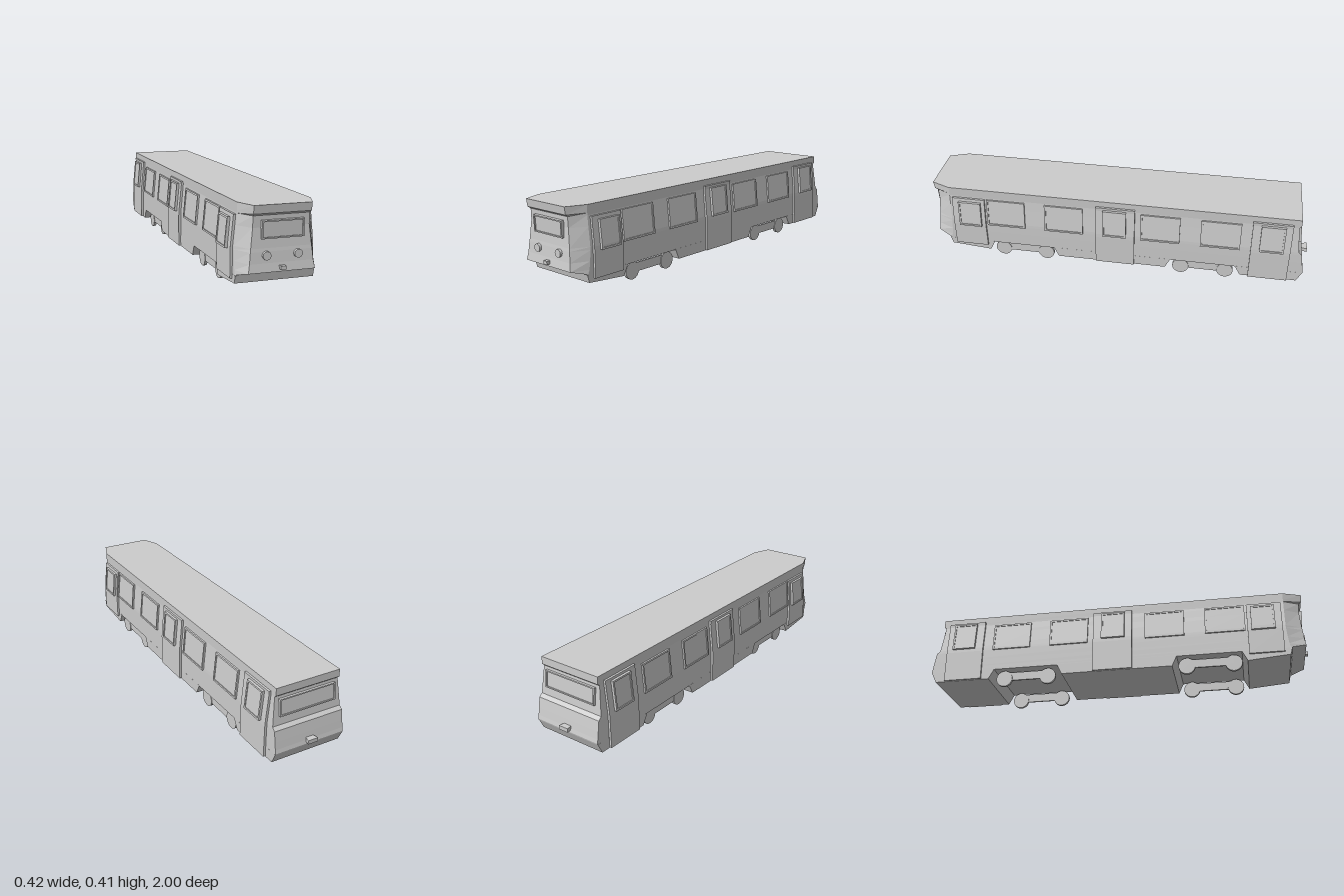
import * as THREE from 'three';

const material = new THREE.MeshStandardMaterial({ color: 0xcccccc, flatShading: true });

// Half width of the side wall at height y
const WALL = [[0.04, 0.187], [0.2, 0.186], [0.22, 0.185], [0.3, 0.177], [0.36, 0.171], [0.41, 0.172]];
function wall(y) {
  for (let i = 1; i < WALL.length; i++) {
    const [y0, x0] = WALL[i - 1], [y1, x1] = WALL[i];
    if (y <= y1) return x0 + (x1 - x0) * Math.max(0, (y - y0) / (y1 - y0));
  }
  return WALL[WALL.length - 1][1];
}

function add(parent, name, geometry) {
  const mesh = new THREE.Mesh(geometry, material);
  mesh.name = name;
  parent.add(mesh);
  return mesh;
}

function box(parent, name, w, h, d, x, y, z) {
  const mesh = add(parent, name, new THREE.BoxGeometry(w, h, d));
  mesh.position.set(x, y, z);
  return mesh;
}

// Body lofted upward through six-cornered plan outlines
function bodyGeometry() {
  // y, rear z, corner z, nose z, nose half width
  const rows = [
    [0.09, -0.976, 0.91, 0.912, 0.184],
    [0.097, -0.978, 0.905, 0.914, 0.184],
    [0.116, -0.974, 0.9, 0.984, 0.155],
    [0.155, -0.968, 0.895, 0.978, 0.148],
    [0.205, -0.96, 0.89, 0.974, 0.143],
    [0.22, -0.943, 0.89, 0.972, 0.141],
    [0.31, -0.933, 0.89, 0.966, 0.131],
    [0.362, -0.927, 0.89, 0.968, 0.13],
    [0.372, -0.938, 0.89, 0.982, 0.134],
    [0.41, -0.938, 0.89, 0.988, 0.134],
  ];
  const rings = rows.map(([y, zb, zc, zf, fw]) => {
    const hw = wall(y);
    return [[hw, zb], [-hw, zb], [-hw, zc], [-fw, zf], [fw, zf], [hw, zc]].map(([x, z]) => [x, y, z]);
  });
  const pos = [];
  const tri = (a, b, c) => pos.push(...a, ...b, ...c);
  for (let i = 0; i < rings.length - 1; i++) {
    for (let j = 0; j < 6; j++) {
      const k = (j + 1) % 6;
      tri(rings[i][j], rings[i][k], rings[i + 1][k]);
      tri(rings[i][j], rings[i + 1][k], rings[i + 1][j]);
    }
  }
  const top = rings[rings.length - 1], bottom = rings[0];
  for (let j = 1; j < 5; j++) {
    tri(top[0], top[j], top[j + 1]);
    tri(bottom[0], bottom[j + 1], bottom[j]);
  }
  const g = new THREE.BufferGeometry();
  g.setAttribute('position', new THREE.Float32BufferAttribute(pos, 3));
  g.computeVertexNormals();
  return g;
}

// Side profile (z, y) extruded across the full width
function crossExtrude(points, width) {
  const shape = new THREE.Shape(points.map(([z, y]) => new THREE.Vector2(z, y)));
  const g = new THREE.ExtrudeGeometry(shape, { depth: width, bevelEnabled: false });
  g.rotateY(-Math.PI / 2);
  g.translate(width / 2, 0, 0);
  return g;
}

// Slab that follows the side wall and stands out from it by d
function panel(parent, name, side, z0, z1, y0, y1, d) {
  const ys = [y0, ...WALL.map(p => p[0]).filter(y => y > y0 && y < y1), y1];
  const outer = ys.map(y => new THREE.Vector2(side * (wall(y) + d), y));
  const inner = ys.map(y => new THREE.Vector2(side * (wall(y) - 0.01), y)).reverse();
  const g = new THREE.ExtrudeGeometry(new THREE.Shape([...outer, ...inner]), { depth: z1 - z0, bevelEnabled: false });
  g.translate(0, 0, z0);
  return add(parent, name, g);
}

// Framed side window with a slightly sunken pane
function sideWindow(parent, name, side, z0, z1, y0, y1, d) {
  const group = new THREE.Group();
  group.name = name;
  const t = 0.009;
  panel(group, 'frameRear', side, z0, z0 + t, y0, y1, d);
  panel(group, 'frameFront', side, z1 - t, z1, y0, y1, d);
  panel(group, 'frameBottom', side, z0 + t, z1 - t, y0, y0 + t, d);
  panel(group, 'frameTop', side, z0 + t, z1 - t, y1 - t, y1, d);
  panel(group, 'pane', side, z0 + t, z1 - t, y0 + t, y1 - t, d - 0.004);
  parent.add(group);
}

// Framed window for the front or the rear end, facing +z
function endWindow(parent, name, w, h) {
  const rect = (path, a, b) => path.moveTo(-a, -b).lineTo(a, -b).lineTo(a, b).lineTo(-a, b).closePath();
  const shape = new THREE.Shape();
  rect(shape, w / 2, h / 2);
  const hole = new THREE.Path();
  rect(hole, w / 2 - 0.007, h / 2 - 0.006);
  shape.holes.push(hole);
  const group = new THREE.Group();
  group.name = name;
  add(group, 'frame', new THREE.ExtrudeGeometry(shape, { depth: 0.02, bevelEnabled: false }));
  box(group, 'pane', w - 0.012, h - 0.01, 0.014, 0, 0, 0.007);
  parent.add(group);
  return group;
}

export function createModel() {
  const model = new THREE.Group();
  model.name = 'railcar';

  add(model, 'body', bodyGeometry());

  // Skirts between the wheel arches
  add(model, 'frontSkirt', crossExtrude([[0.912, 0.092], [0.903, 0.056], [0.69, 0.038], [0.663, 0.092]], 0.374));
  add(model, 'middleSkirt', crossExtrude([[0.335, 0.092], [0.31, 0.038], [-0.265, 0.038], [-0.292, 0.092]], 0.374));
  add(model, 'rearSkirt', crossExtrude([[-0.63, 0.092], [-0.66, 0.038], [-0.95, 0.038], [-0.976, 0.092]], 0.374));

  // z0, z1, y0, y1 of the door, then of its window
  const doors = [
    ['frontDoor', 0.7, 0.875, 0.072, 0.355, 0.72, 0.84, 0.2, 0.338],
    ['middleDoor', -0.1, 0.105, 0.04, 0.378, -0.056, 0.067, 0.217, 0.365],
    ['rearDoor', -0.9, -0.7, 0.04, 0.378, -0.866, -0.743, 0.217, 0.365],
  ];
  const windows = [[0.485, 0.69], [0.174, 0.378], [-0.335, -0.13], [-0.646, -0.442]];
  for (const side of [1, -1]) {
    const label = side > 0 ? 'left' : 'right';
    for (const [name, z0, z1, y0, y1, w0, w1, v0, v1] of doors) {
      panel(model, `${label} ${name}`, side, z0, z1, y0, y1, 0.011);
      sideWindow(model, `${label} ${name} window`, side, w0, w1, v0, v1, 0.024);
    }
    windows.forEach(([z0, z1], i) => sideWindow(model, `${label} window ${i + 1}`, side, z0, z1, 0.205, 0.355, 0.009));

    // Wheel sets, each pair joined by a bar
    const x = side > 0 ? 0.164 : -0.153;
    for (const [za, zb] of [[0.62, 0.383], [-0.346, -0.58]]) {
      for (const z of [za, zb]) {
        const g = new THREE.CylinderGeometry(0.043, 0.043, 0.015, 24).rotateZ(Math.PI / 2);
        add(model, `${label} wheel`, g).position.set(x, 0.044, z);
      }
      box(model, `${label} wheel bar`, 0.009, 0.044, za - zb - 0.04, x, 0.055, (za + zb) / 2);
    }
  }

  // Front end
  const frontWindow = endWindow(model, 'frontWindow', 0.196, 0.08);
  frontWindow.position.set(0.004, 0.302, 0.962);
  frontWindow.rotation.x = 0.05;
  for (const x of [-0.071, 0.075]) {
    const g = new THREE.CylinderGeometry(0.019, 0.019, 0.03, 24).rotateX(Math.PI / 2);
    add(model, 'headlight', g).position.set(x, 0.189, 0.972);
  }
  box(model, 'frontCoupler', 0.025, 0.016, 0.04, 0, 0.135, 0.98);

  // Rear end
  const rearWindow = endWindow(model, 'rearWindow', 0.3, 0.085);
  rearWindow.position.set(0, 0.305, -0.926);
  rearWindow.rotation.set(0.1, Math.PI, 0);
  const coupler = new THREE.Shape([[-0.018, 0.96], [0.018, 0.96], [0.027, 1], [-0.027, 1]].map(p => new THREE.Vector2(...p)));
  const couplerGeometry = new THREE.ExtrudeGeometry(coupler, { depth: 0.02, bevelEnabled: false });
  couplerGeometry.rotateX(-Math.PI / 2);
  add(model, 'rearCoupler', couplerGeometry).position.set(0, 0.108, 0);

  return model;
}
